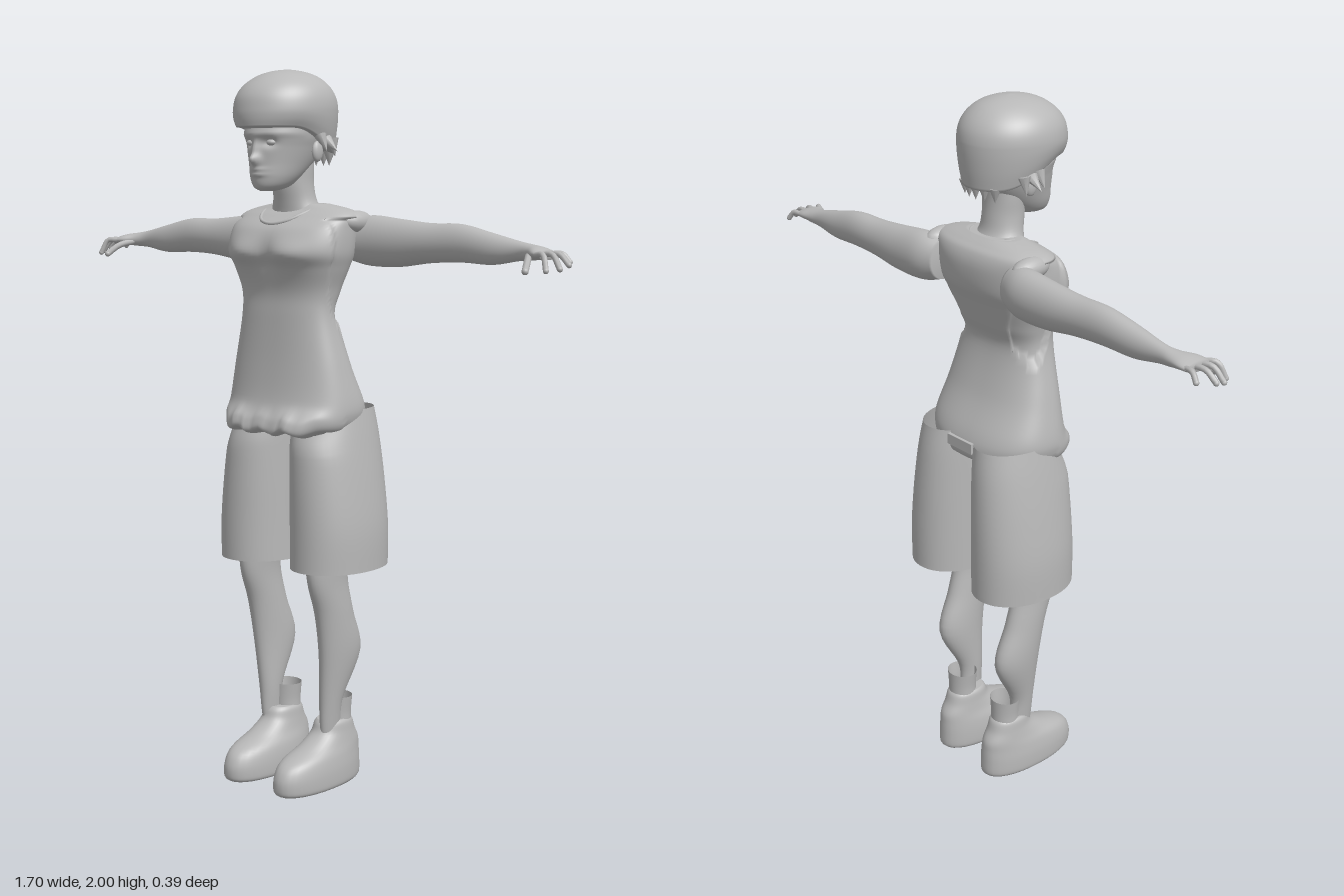
import * as THREE from 'three';
import { mergeGeometries } from 'three/addons/utils/BufferGeometryUtils.js';

const grey = new THREE.MeshStandardMaterial({ color: 0xb8b8b8, side: THREE.DoubleSide });
grey.name = 'plainGrey';

const bump = (d, w) => Math.exp(-(d * d) / (w * w));
const spow = (v, e) => Math.sign(v) * Math.abs(v) ** e;
const V = (p) => new THREE.Vector3(...p);

// Smooth interpolation between cross-section rows
function refine(rows, sub) {
  const out = [];
  for (let i = 0; i < rows.length - 1; i++) {
    const [p, q, r, s] = [-1, 0, 1, 2].map((k) => rows[Math.min(rows.length - 1, Math.max(0, i + k))]);
    for (let k = 0; k < sub; k++) {
      const t = k / sub;
      out.push(q.map((v, c) => v + 0.5 * t * (r[c] - p[c]
        + t * (2 * p[c] - 5 * v + 4 * r[c] - s[c] + t * (3 * (v - r[c]) + s[c] - p[c])))));
    }
  }
  out.push(rows[rows.length - 1]);
  return out;
}

// Loft of rounded sections; row = [height, centreA, centreB, radiusA, radiusB]
function loft(rows, { seg = 32, sub = 5, n = 2, cap = true, alongX = false, warp } = {}) {
  const rings = refine(rows, sub), pos = [], idx = [];
  const put = (h, a, b) => {
    const p = alongX ? new THREE.Vector3(h, a, b) : new THREE.Vector3(a, h, b);
    if (warp) warp(p);
    pos.push(p.x, p.y, p.z);
  };
  const tri = (a, b, c) => (alongX ? idx.push(a, c, b) : idx.push(a, b, c));
  for (const [h, a, b, ra, rb] of rings) {
    for (let j = 0; j < seg; j++) {
      const t = (j / seg) * Math.PI * 2;
      put(h, a + ra * spow(Math.cos(t), 2 / n), b + rb * spow(Math.sin(t), 2 / n));
    }
  }
  for (let i = 0; i < rings.length - 1; i++) {
    for (let j = 0; j < seg; j++) {
      const a = i * seg + j, b = i * seg + ((j + 1) % seg);
      tri(a, a + seg, b);
      tri(b, a + seg, b + seg);
    }
  }
  if (cap) {
    const last = rings.length - 1, c0 = pos.length / 3;
    put(...rings[0].slice(0, 3));
    put(...rings[last].slice(0, 3));
    for (let j = 0; j < seg; j++) {
      const k = (j + 1) % seg;
      tri(c0, j, k);
      tri(c0 + 1, last * seg + k, last * seg + j);
    }
  }
  const g = new THREE.BufferGeometry();
  g.setAttribute('position', new THREE.Float32BufferAttribute(pos, 3));
  g.setIndex(idx);
  g.computeVertexNormals();
  return g;
}

// Mirrored copy across x with corner order restored
function mirror(geo) {
  const g = geo.clone().scale(-1, 1, 1), ix = g.index.array;
  for (let i = 0; i < ix.length; i += 3) [ix[i], ix[i + 1]] = [ix[i + 1], ix[i]];
  g.computeVertexNormals();
  return g;
}

const blob = (p, r, s = [1, 1, 1]) => new THREE.SphereGeometry(r, 16, 12).scale(...s).translate(...p);

function finger(points, r) {
  const tube = new THREE.TubeGeometry(new THREE.CatmullRomCurve3(points.map(V)), 8, r, 8);
  return mergeGeometries([tube, blob(points[points.length - 1], r)]);
}

export function createModel() {
  const model = new THREE.Group();
  const add = (name, geo) => {
    const m = new THREE.Mesh(geo, grey);
    m.name = name;
    model.add(m);
  };
  const pair = (name, geo) => {
    add(name + 'Left', geo);
    add(name + 'Right', mirror(geo));
  };

  // Head with nose, lips, brow and eye sockets
  add('head', loft([
    [1.674, 0, 0.115, 0.015, 0.022], [1.685, 0, 0.1, 0.042, 0.052], [1.71, 0, 0.083, 0.061, 0.075],
    [1.75, 0, 0.06, 0.077, 0.098], [1.79, 0, 0.047, 0.09, 0.113], [1.83, 0, 0.043, 0.1, 0.12],
    [1.9, 0, 0.04, 0.1, 0.12],
  ], { seg: 96, sub: 10, warp: (p) => {
    if (p.z < 0.06) return;
    const ax = Math.abs(p.x);
    p.z += 0.024 * bump(p.x, 0.014) * bump(p.y - 1.757, 0.016)
      + 0.011 * bump(p.x, 0.011) * bump(p.y - 1.785, 0.02)
      + 0.006 * bump(p.x, 0.026) * (bump(p.y - 1.731, 0.006) + bump(p.y - 1.718, 0.006))
      - 0.012 * bump(ax - 0.036, 0.018) * bump(p.y - 1.803, 0.013)
      + 0.005 * bump(p.y - 1.826, 0.01);
  } }));
  pair('eye', blob([0.036, 1.803, 0.138], 0.013, [1.1, 0.7, 1]));
  pair('ear', blob([0.096, 1.78, 0.02], 0.028, [0.4, 1, 0.7]));
  add('neck', loft([
    [1.57, 0, -0.02, 0.12, 0.075], [1.61, 0, -0.012, 0.088, 0.065], [1.645, 0, 0.002, 0.066, 0.055],
    [1.69, 0, 0.01, 0.059, 0.055], [1.74, 0, 0.012, 0.06, 0.055], [1.79, 0, 0.02, 0.06, 0.07],
  ]));

  // Bowl-shaped hair, lower at the back than over the brow
  add('hair', loft([
    [1.845, 0, 0.045, 0.116, 0.148], [1.865, 0, 0.043, 0.128, 0.153], [1.89, 0, 0.041, 0.134, 0.154],
    [1.925, 0, 0.04, 0.129, 0.146], [1.955, 0, 0.038, 0.112, 0.125], [1.98, 0, 0.035, 0.08, 0.091],
    [1.994, 0, 0.033, 0.042, 0.05], [2, 0, 0.032, 0.004, 0.005],
  ], { seg: 64, warp: (p) => {
    const low = Math.max(0, (1.89 - p.y) / 0.045);
    p.y -= 0.07 * low * THREE.MathUtils.smoothstep(0.12 - p.z, 0, 0.2);
  } }));
  const tuft = [[0.128, 1.8, 0.03, 0.5], [0.135, 1.795, 0.005, 0.9], [0.12, 1.79, -0.02, 0.2]];
  pair('hairTuft', mergeGeometries(tuft.map(([x, y, z, a]) =>
    new THREE.ConeGeometry(0.017, 0.05, 8).rotateX(Math.PI).rotateZ(a).translate(x, y, z))));
  const nape = [-0.06, -0.03, 0, 0.03, 0.06];
  add('napeHair', mergeGeometries(nape.map((x) =>
    new THREE.ConeGeometry(0.016, 0.04, 8).rotateX(Math.PI).translate(x, 1.762, -0.085 + 4 * x * x))));

  // Sleeveless shirt: sunken teardrop armholes, chest and gathered hem
  add('shirt', loft([
    [1.015, 0, 0.005, 0.17, 0.125], [1.025, 0, 0.008, 0.19, 0.148], [1.055, 0, 0.003, 0.206, 0.148],
    [1.1, 0, -0.003, 0.208, 0.13], [1.2, 0, 0.013, 0.187, 0.099], [1.33, 0, 0.025, 0.158, 0.077],
    [1.4, 0, 0.014, 0.164, 0.086], [1.465, 0, 0.011, 0.186, 0.108], [1.51, 0, 0.012, 0.2, 0.127],
    [1.57, 0, -0.002, 0.203, 0.118], [1.607, 0, -0.02, 0.198, 0.09], [1.625, 0, -0.025, 0.165, 0.065],
    [1.64, 0, -0.022, 0.09, 0.045],
  ], { seg: 96, sub: 7, n: 2.4, warp: (p) => {
    const ax = Math.abs(p.x), hem = THREE.MathUtils.smoothstep(1.1 - p.y, 0, 0.05);
    if (p.z > 0.03) {
      p.z += 0.012 * bump(ax - 0.085, 0.05) * bump(p.y - 1.51, 0.035)
        - 0.01 * bump(p.x, 0.03) * bump(p.y - 1.5, 0.05)
        + hem * (0.012 * bump(ax - 0.11, 0.05) + 0.005 * Math.sin(ax * 150) * bump(p.x, 0.12));
      p.y += hem * 0.006 * Math.cos(ax * 75);
    }
    if (ax > 0.1 && p.y > 1.31 && p.y < 1.6) {
      const w = 0.068 * Math.sqrt(Math.min(1, (p.y - 1.31) / 0.17));
      const inside = 1 - THREE.MathUtils.smoothstep(Math.abs(p.z + 0.01), w * 0.88, w + 0.003);
      p.x -= Math.sign(p.x) * 0.013 * inside;
    }
  } }));
  const collar = [[0, 1.586, 0.1], [0.045, 1.594, 0.089], [0.076, 1.615, 0.05], [0.085, 1.634, -0.01],
    [0.06, 1.636, -0.055], [0, 1.63, -0.073], [-0.06, 1.636, -0.055], [-0.085, 1.634, -0.01],
    [-0.076, 1.615, 0.05], [-0.045, 1.594, 0.089]];
  add('neckline', new THREE.TubeGeometry(new THREE.CatmullRomCurve3(collar.map(V), true), 64, 0.005, 8, true));
  pair('shoulderStrap', blob([0.175, 1.592, -0.05], 0.04, [0.8, 0.75, 1.5]));

  // Arms and hands, held straight out
  pair('arm', loft([
    [0.14, 1.54, -0.08, 0.055, 0.045], [0.2, 1.54, -0.092, 0.069, 0.052], [0.3, 1.536, -0.094, 0.064, 0.049],
    [0.4, 1.538, -0.093, 0.053, 0.043], [0.5, 1.54, -0.093, 0.05, 0.038], [0.6, 1.528, -0.09, 0.041, 0.032],
    [0.68, 1.525, -0.09, 0.026, 0.022], [0.72, 1.523, -0.086, 0.021, 0.027], [0.755, 1.522, -0.075, 0.017, 0.041],
    [0.785, 1.518, -0.07, 0.012, 0.042],
  ], { alongX: true }));
  const tips = [[0.818, 1.5, -0.115], [0.843, 1.495, -0.073], [0.838, 1.486, -0.04], [0.817, 1.482, -0.01]];
  tips.forEach(([x, y, z], i) => {
    const z0 = -0.104 + i * 0.023;
    pair('finger' + (i + 1), finger([[0.77, 1.52, z0],
      [(0.77 + x) / 2 + 0.006, 1.52, (z0 + z) / 2], [x, y, z]], 0.0075));
  });
  pair('thumb', finger([[0.725, 1.518, -0.07], [0.752, 1.505, -0.025], [0.768, 1.48, 0.008]], 0.009));

  // Wide open-ended shorts, higher at the back
  pair('shortsLeg', loft([
    [0.635, 0.132, -0.035, 0.117, 0.157], [0.75, 0.132, -0.035, 0.117, 0.157], [0.88, 0.125, -0.034, 0.11, 0.154],
    [1, 0.116, -0.033, 0.101, 0.147], [1.08, 0.109, -0.033, 0.093, 0.135],
  ], { seg: 48, n: 2.1, cap: false, warp: (p) => {
    p.y -= 0.5 * Math.max(0, p.y - 0.95) * THREE.MathUtils.smoothstep(p.z, -0.03, 0.1);
  } }));
  add('shortsBackBridge', new THREE.BoxGeometry(0.1, 0.03, 0.015).translate(0, 1.06, -0.143));

  // Legs
  pair('leg', loft([
    [0.1, 0.11, -0.02, 0.018, 0.028], [0.17, 0.113, -0.02, 0.022, 0.036], [0.25, 0.116, -0.021, 0.029, 0.041],
    [0.38, 0.125, -0.047, 0.042, 0.077], [0.5, 0.128, -0.018, 0.042, 0.068], [0.6, 0.128, 0.01, 0.041, 0.073],
    [0.7, 0.125, 0.01, 0.05, 0.076], [0.9, 0.115, 0, 0.07, 0.085], [1.05, 0.1, -0.01, 0.08, 0.088],
  ]));

  // Ankle boots with loose open cuffs
  pair('shoe', loft([
    [0, 0.096, 0.015, 0.064, 0.155], [0.012, 0.096, 0.016, 0.069, 0.164], [0.05, 0.096, 0.015, 0.069, 0.163],
    [0.085, 0.096, 0.003, 0.064, 0.149], [0.115, 0.097, -0.032, 0.055, 0.11], [0.145, 0.097, -0.05, 0.049, 0.075],
    [0.172, 0.097, -0.053, 0.045, 0.062], [0.182, 0.097, -0.053, 0.038, 0.053],
  ], { n: 2.2 }));
  pair('bootCuff', loft([
    [0.165, 0.097, -0.068, 0.041, 0.041], [0.2, 0.097, -0.068, 0.041, 0.041], [0.245, 0.097, -0.068, 0.046, 0.042],
  ], { cap: false }));

  return model;
}
